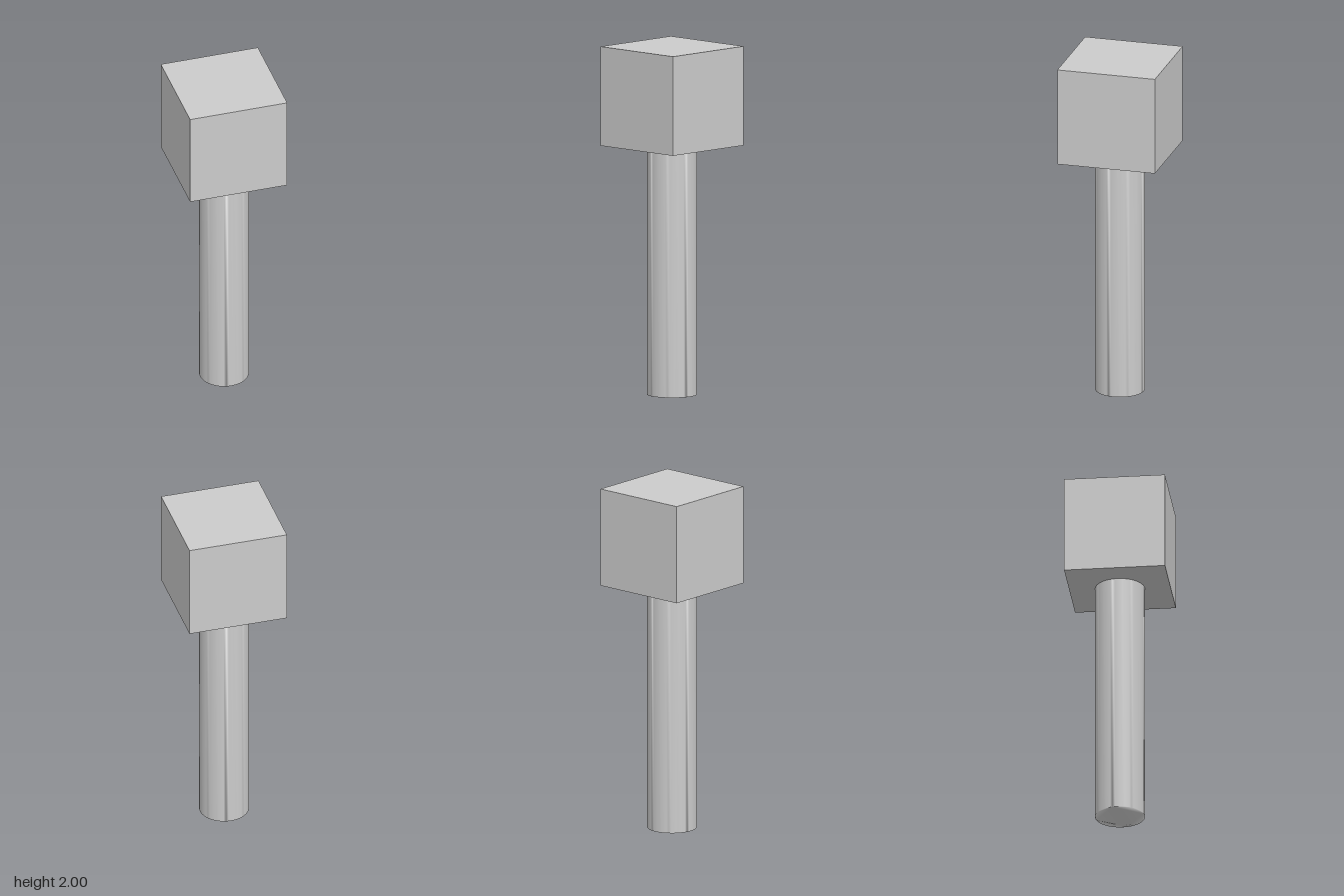
import * as THREE from 'three';
import { mergeVertices } from 'three/addons/utils/BufferGeometryUtils.js';

export function createModel() {
  const group = new THREE.Group();
  const material = new THREE.MeshStandardMaterial({ color: 0xcccccc });

  // Round handle: rim vertices are shared so shading blends over the ends
  const handleHeight = 1.43;
  const circle = new THREE.Shape().absarc(0, 0, 0.142, 0, Math.PI * 2);
  let handleGeometry = new THREE.ExtrudeGeometry(circle, {
    depth: handleHeight, bevelEnabled: false, curveSegments: 32,
  });
  handleGeometry.rotateX(-Math.PI / 2);
  handleGeometry.deleteAttribute('normal');
  handleGeometry.deleteAttribute('uv');
  handleGeometry = mergeVertices(handleGeometry);
  handleGeometry.computeVertexNormals();
  const handle = new THREE.Mesh(handleGeometry, material);
  handle.name = 'handle';
  group.add(handle);

  // Block head resting on the handle
  const headHeight = 2 - handleHeight;
  const head = new THREE.Mesh(new THREE.BoxGeometry(0.577, headHeight, 0.577), material);
  head.position.y = handleHeight + headHeight / 2;
  head.name = 'head';
  group.add(head);

  return group;
}
